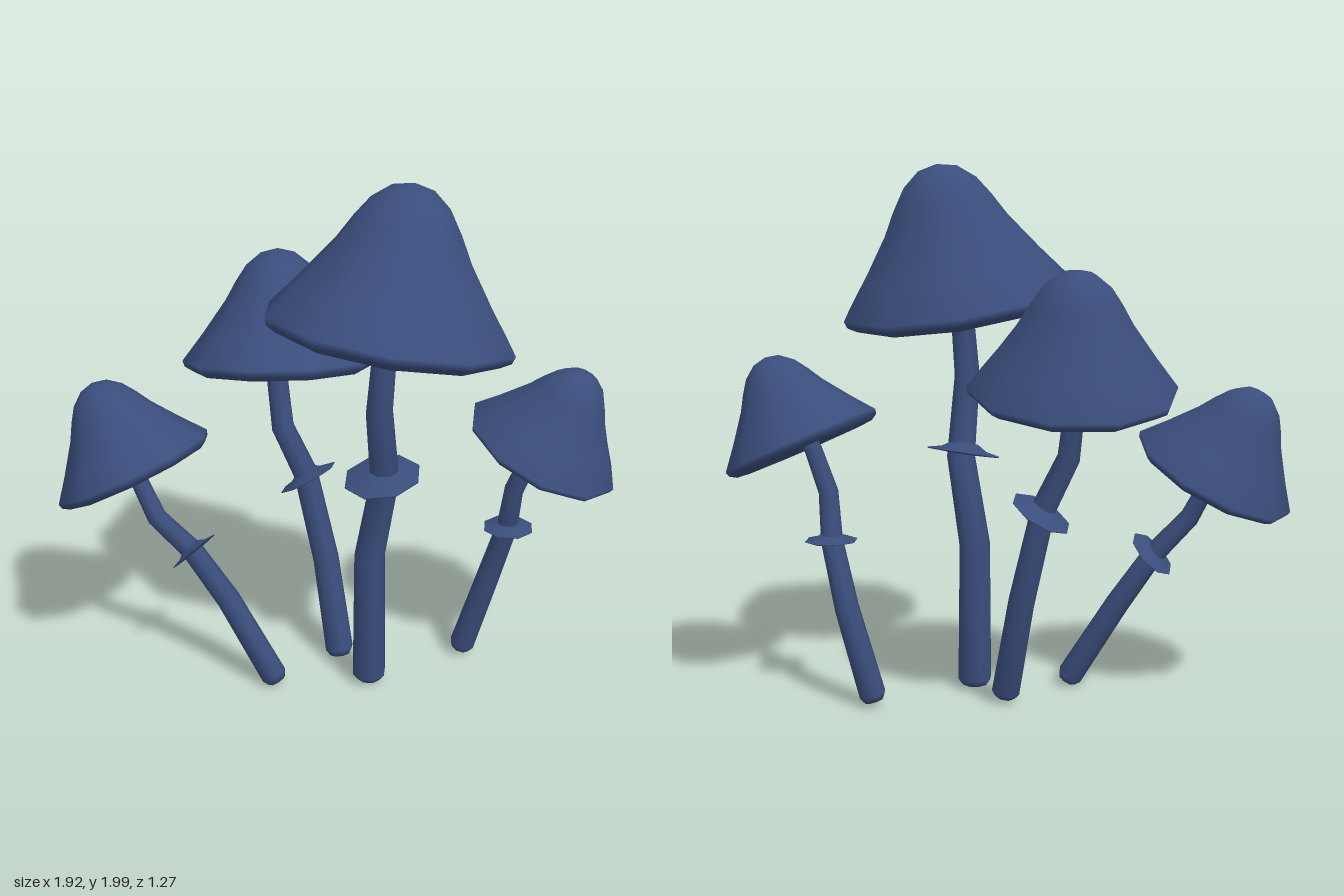
import * as THREE from 'three';

const skin = new THREE.MeshStandardMaterial({ color: 0x3a4d7c });
skin.name = 'dark blue';

const UP = new THREE.Vector3(0, 1, 0);

// Bell cap for a rim radius of 1, rim at height 0: underside, lip, then dome
const CAP = [
  [0, -0.01], [0.3, -0.03], [0.65, -0.09], [0.9, -0.11], [0.98, -0.06], [1, 0],
  [0.78, 0.28], [0.54, 0.61], [0.43, 0.8], [0.32, 0.96], [0.17, 1.08], [0, 1.12],
];

// Thin flared skirt for an outer radius of 1
const SKIRT = [[0, -0.06], [0.4, -0.06], [1, -0.03], [1, 0], [0.62, 0.08], [0.36, 0.24], [0, 0.24]];

function lathe(profile, scale, sides, phase = 0) {
  const points = profile.map(([r, y]) => new THREE.Vector2(r * scale, y * scale));
  return new THREE.LatheGeometry(points, sides, THREE.MathUtils.degToRad(phase));
}

// Tapered stem with a bevelled foot, swept through the path points
function stemGeometry(path, r0, r1, sides = 8) {
  const pts = path.map((p) => new THREE.Vector3(...p));
  const foot = pts[1].clone().sub(pts[0]).normalize();
  const rings = pts.map((p, i) => {
    const a = pts[Math.max(i - 1, 0)];
    const b = pts[Math.min(i + 1, pts.length - 1)];
    const dir = b.clone().sub(a).normalize();
    return { p, dir, r: THREE.MathUtils.lerp(r0, r1, Math.min(1, i / (pts.length - 2))) };
  });
  const low = pts[0].clone().addScaledVector(foot, -0.025);
  rings.unshift({ p: low, dir: foot, r: 0 }, { p: low, dir: foot, r: r0 * 0.72 });
  const last = rings[rings.length - 1];
  rings.push({ ...last, r: 0 });

  const position = [];
  const index = [];
  rings.forEach(({ p, dir, r }, i) => {
    const q = new THREE.Quaternion().setFromUnitVectors(UP, dir);
    for (let j = 0; j < sides; j++) {
      const a = (j / sides) * Math.PI * 2;
      const v = new THREE.Vector3(Math.sin(a) * r, 0, Math.cos(a) * r).applyQuaternion(q).add(p);
      position.push(v.x, v.y, v.z);
      if (i === 0) continue;
      const k = (j + 1) % sides;
      const lo = (i - 1) * sides;
      const hi = i * sides;
      if (i > 1) index.push(lo + j, lo + k, hi + j);
      else index.push(lo + j, hi + k, hi + j);
      if (i > 1 && i < rings.length - 1) index.push(hi + k, hi + j, lo + k);
    }
  });
  const g = new THREE.BufferGeometry();
  g.setAttribute('position', new THREE.Float32BufferAttribute(position, 3));
  g.setIndex(index);
  g.computeVertexNormals();
  return g;
}

function part(name, geometry, position, axis) {
  const mesh = new THREE.Mesh(geometry, skin);
  mesh.name = name;
  if (position) mesh.position.set(...position);
  if (axis) mesh.quaternion.setFromUnitVectors(UP, new THREE.Vector3(...axis).normalize());
  return mesh;
}

const MUSHROOMS = [
  {
    name: 'tallMushroom',
    cap: { at: [0.245, 1.51, 0.075], axis: [0.08, 1, -0.19], r: 0.45, phase: 27 },
    ring: { at: [0.21, 0.925, 0.045], axis: [-0.07, 1, 0.2], r: 0.145 },
    stem: [[0.15, 0.05, 0.016], [0.15, 0.575, 0.02], [0.217, 0.91, 0.037], [0.23, 1.21, 0.115], [0.238, 1.46, 0.09], [0.245, 1.56, 0.08]],
    radii: [0.066, 0.045],
  },
  {
    name: 'middleMushroom',
    cap: { at: [-0.33, 1.22, -0.155], axis: [-0.13, 1, -0.2], r: 0.375, phase: 13 },
    ring: { at: [-0.2, 0.755, -0.13], axis: [-0.53, 0.85, 0.02], r: 0.12 },
    stem: [[-0.03, 0.055, -0.075], [-0.12, 0.415, -0.13], [-0.205, 0.77, -0.125], [-0.295, 0.96, -0.105], [-0.33, 1.2, -0.12], [-0.335, 1.27, -0.13]],
    radii: [0.056, 0.04],
  },
  {
    name: 'rightMushroom',
    cap: { at: [-0.7, 0.875, 0.32], axis: [-0.55, 1, 0], r: 0.315, phase: -2 },
    ring: { at: [-0.475, 0.55, 0.275], axis: [-0.72, 0.7, 0], r: 0.1 },
    stem: [[-0.165, 0.05, 0.215], [-0.35, 0.35, 0.235], [-0.48, 0.55, 0.275], [-0.6, 0.69, 0.33], [-0.68, 0.84, 0.328], [-0.71, 0.9, 0.32]],
    radii: [0.05, 0.033],
  },
  {
    name: 'leftMushroom',
    cap: { at: [0.68, 0.99, -0.35], axis: [0.45, 1, -0.08], r: 0.3, phase: 22 },
    ring: { at: [0.56, 0.625, -0.345], axis: [0, 1, 0], r: 0.098 },
    stem: [[0.39, 0.055, -0.345], [0.48, 0.38, -0.37], [0.555, 0.625, -0.348], [0.585, 0.8, -0.32], [0.645, 0.96, -0.328], [0.68, 1.02, -0.34]],
    radii: [0.05, 0.033],
  },
];

export function createModel() {
  const model = new THREE.Group();
  model.name = 'mushroomCluster';
  for (const { name, cap, ring, stem, radii } of MUSHROOMS) {
    const mushroom = new THREE.Group();
    mushroom.name = name;
    mushroom.add(
      part('cap', lathe(CAP, cap.r, 10, cap.phase), cap.at, cap.axis),
      part('skirt', lathe(SKIRT, ring.r, 8), ring.at, ring.axis),
      part('stem', stemGeometry(stem, ...radii)),
    );
    model.add(mushroom);
  }
  return model;
}
